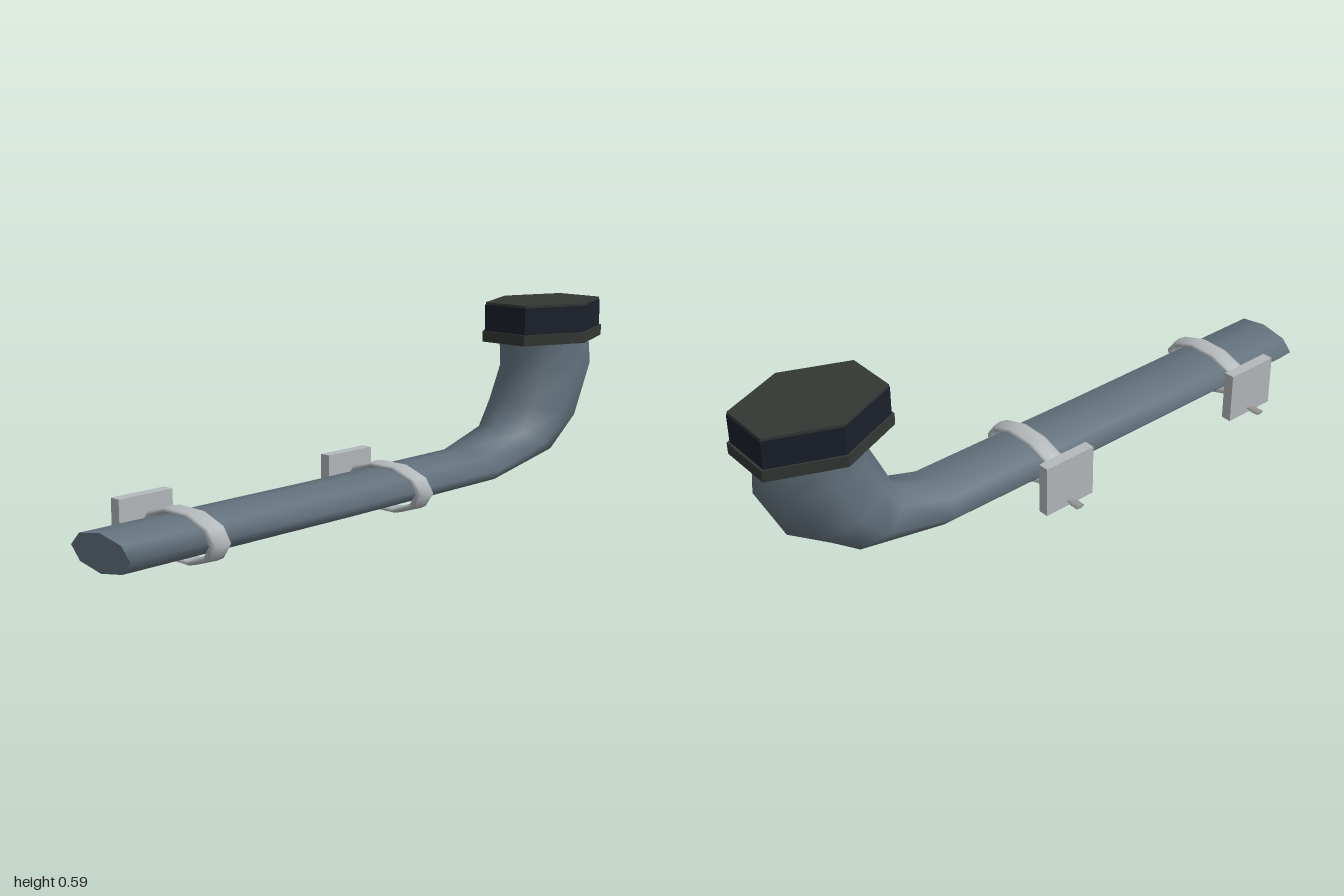
import * as THREE from 'three';

const CZ = 0.037; // centre line of the pipe in z

function mesh(name, geometry, color, flatShading = false) {
  const m = new THREE.Mesh(geometry, new THREE.MeshStandardMaterial({ color, flatShading }));
  m.name = name;
  return m;
}

// Eight-sided flattened pipe, lofted through [lower x, lower y, upper x, upper y]
function pipeGeometries() {
  const sections = [
    [-1, 0.037, -1, 0.143],
    [-0.2, 0.038, -0.2, 0.143],
    [0.45, 0.043, 0.4, 0.148],
    [0.76, 0.1, 0.545, 0.2],
    [0.9, 0.2, 0.582, 0.28],
    [0.985, 0.38, 0.63, 0.38],
    [0.972, 0.47, 0.625, 0.47],
  ];
  const n = 8, pos = [], index = [];
  sections.forEach(([lx, ly, ux, uy], i) => {
    for (let k = 0; k < n; k++) {
      const a = (k / n) * Math.PI * 2, t = 0.5 + 0.5 * Math.sin(a);
      pos.push(lx + (ux - lx) * t, ly + (uy - ly) * t, CZ + 0.127 * Math.cos(a));
      if (i === sections.length - 1) continue;
      const p = i * n + k, q = i * n + ((k + 1) % n);
      index.push(p, p + n, q, p + n, q + n, q);
    }
  });
  const wall = new THREE.BufferGeometry();
  wall.setAttribute('position', new THREE.Float32BufferAttribute(pos, 3));
  wall.setIndex(index);
  wall.computeVertexNormals();

  // Flat closure of the straight end
  const end = new THREE.BufferGeometry();
  end.setAttribute('position', new THREE.Float32BufferAttribute(pos.slice(0, n * 3), 3));
  const fan = [];
  for (let k = 1; k < n - 1; k++) fan.push(0, k, k + 1);
  end.setIndex(fan);
  end.computeVertexNormals();
  return [wall, end];
}

// Hexagonal slab of the cap, pointed along z
function hexSlab(name, halfX, halfZ, y0, y1, color) {
  const g = new THREE.CylinderGeometry(1, 1, y1 - y0, 6);
  g.scale(halfX / Math.cos(Math.PI / 6), 1, halfZ);
  const m = mesh(name, g, color, true);
  m.position.set(0.79, (y0 + y1) / 2, CZ);
  return m;
}

// Rod along z, widened in x
function rod(name, radius, z0, z1, stretch, color) {
  const g = new THREE.CylinderGeometry(radius, radius, z1 - z0, 8);
  g.rotateX(Math.PI / 2);
  g.scale(stretch, 1, 1);
  const m = mesh(name, g, color);
  m.position.set(0, 0.018, (z0 + z1) / 2);
  return m;
}

function createClamp(x) {
  const clamp = new THREE.Group();
  clamp.name = 'clamp';
  const metal = 0xb4b9bc;

  // Flattened ring around the pipe
  const ring = new THREE.TorusGeometry(0.146, 0.018, 8, 10);
  ring.rotateY(Math.PI / 2);
  ring.scale(2, 0.46, 1);
  const strap = mesh('strap', ring, metal);
  strap.position.set(0, 0.087, CZ + 0.002);

  const plate = mesh('wallPlate', new THREE.BoxGeometry(0.182, 0.168, 0.035), metal);
  plate.position.set(0, 0.086, -0.1425);
  clamp.add(strap, plate);

  // Bolt with head, shank and thread ridges
  clamp.add(rod('boltHead', 0.011, -0.122, -0.099, 1.8, 0x999999));
  clamp.add(rod('boltShank', 0.0045, -0.207, -0.12, 2.6, 0x999999));
  for (let i = 0; i < 4; i++) {
    const z = -0.176 - i * 0.009;
    clamp.add(rod('boltThread', 0.006, z - 0.002, z + 0.002, 2.8, 0x999999));
  }
  clamp.position.x = x;
  return clamp;
}

export function createModel() {
  const model = new THREE.Group();
  model.name = 'cappedPipe';

  const [wall, end] = pipeGeometries();
  model.add(mesh('pipe', wall, 0x64737e), mesh('pipeEnd', end, 0x64737e));

  const cap = new THREE.Group();
  cap.name = 'cap';
  cap.add(
    hexSlab('capFlange', 0.206, 0.171, 0.465, 0.5, 0x343835),
    hexSlab('capBody', 0.199, 0.165, 0.5, 0.585, 0x1a202b),
    hexSlab('capTop', 0.197, 0.163, 0.585, 0.593, 0x343835),
  );
  model.add(cap);

  for (const x of [-0.73, 0.052]) model.add(createClamp(x));
  return model;
}
